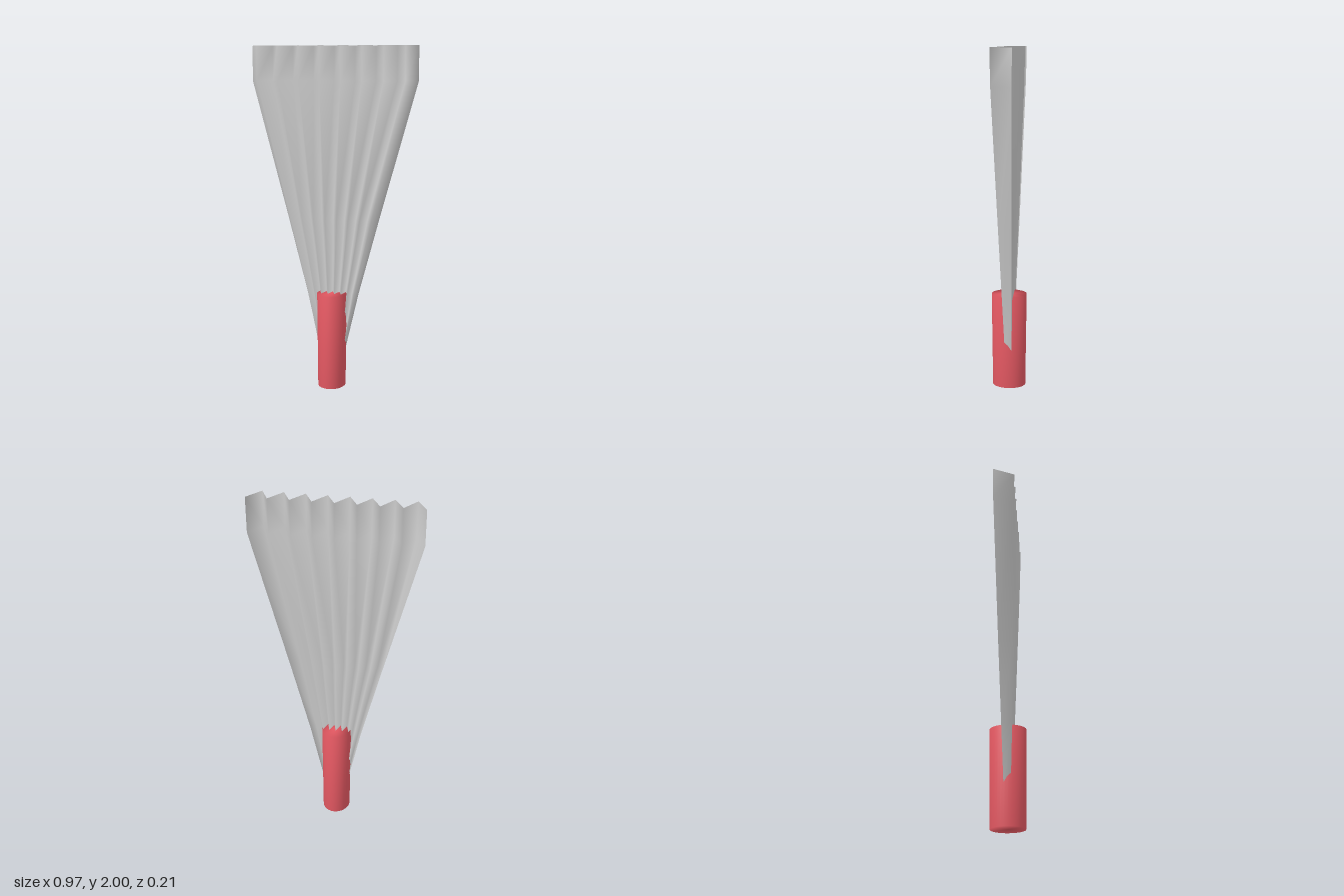
import * as THREE from 'three';
import { mergeVertices } from 'three/addons/utils/BufferGeometryUtils.js';

// Share vertices so shading runs smoothly across folds and rims
function smooth(geometry) {
  geometry.deleteAttribute('normal');
  geometry.deleteAttribute('uv');
  const merged = mergeVertices(geometry, 1e-4);
  merged.computeVertexNormals();
  return merged;
}

// Pleated sheet: zigzag cross-sections stacked along y
function pleatedSheet(rows, folds) {
  const positions = [];
  const index = [];
  const n = folds + 1;
  rows.forEach(([y, halfWidth, depth], r) => {
    for (let i = 0; i < n; i++) {
      const x = halfWidth * (2 * i / folds - 1);
      positions.push(x, y, i % 2 ? depth : -depth);
      if (r && i) {
        const a = (r - 1) * n + i - 1;
        const b = r * n + i - 1;
        index.push(a, a + 1, b + 1, a, b + 1, b);
      }
    }
  });
  const geometry = new THREE.BufferGeometry();
  geometry.setAttribute('position', new THREE.Float32BufferAttribute(positions, 3));
  geometry.setIndex(index);
  geometry.computeVertexNormals();
  return geometry;
}

export function createModel() {
  const group = new THREE.Group();
  group.name = 'pleatedFan';

  // Fan blade: [height, half width, pleat depth]
  const rows = [
    [0.1, 0.05, 0.017], [0.23, 0.081, 0.02], [0.56, 0.155, 0.029],
    [1.0, 0.27, 0.04], [1.8, 0.485, 0.058], [2.0, 0.485, 0.061],
  ];
  const blade = new THREE.Mesh(
    pleatedSheet(rows, 16),
    new THREE.MeshStandardMaterial({ color: 0xcccccc, side: THREE.DoubleSide }),
  );
  blade.name = 'pleatedBlade';
  group.add(blade);

  // Handle: slightly flared oval cylinder, closed at both ends
  const height = 0.565;
  const grip = new THREE.CylinderGeometry(0.104, 0.098, height, 32);
  grip.scale(0.835, 1, 1);
  grip.translate(0, height / 2, 0);
  const handle = new THREE.Mesh(
    smooth(grip),
    new THREE.MeshStandardMaterial({ color: 0xe85a64 }),
  );
  handle.name = 'handle';
  group.add(handle);

  return group;
}
